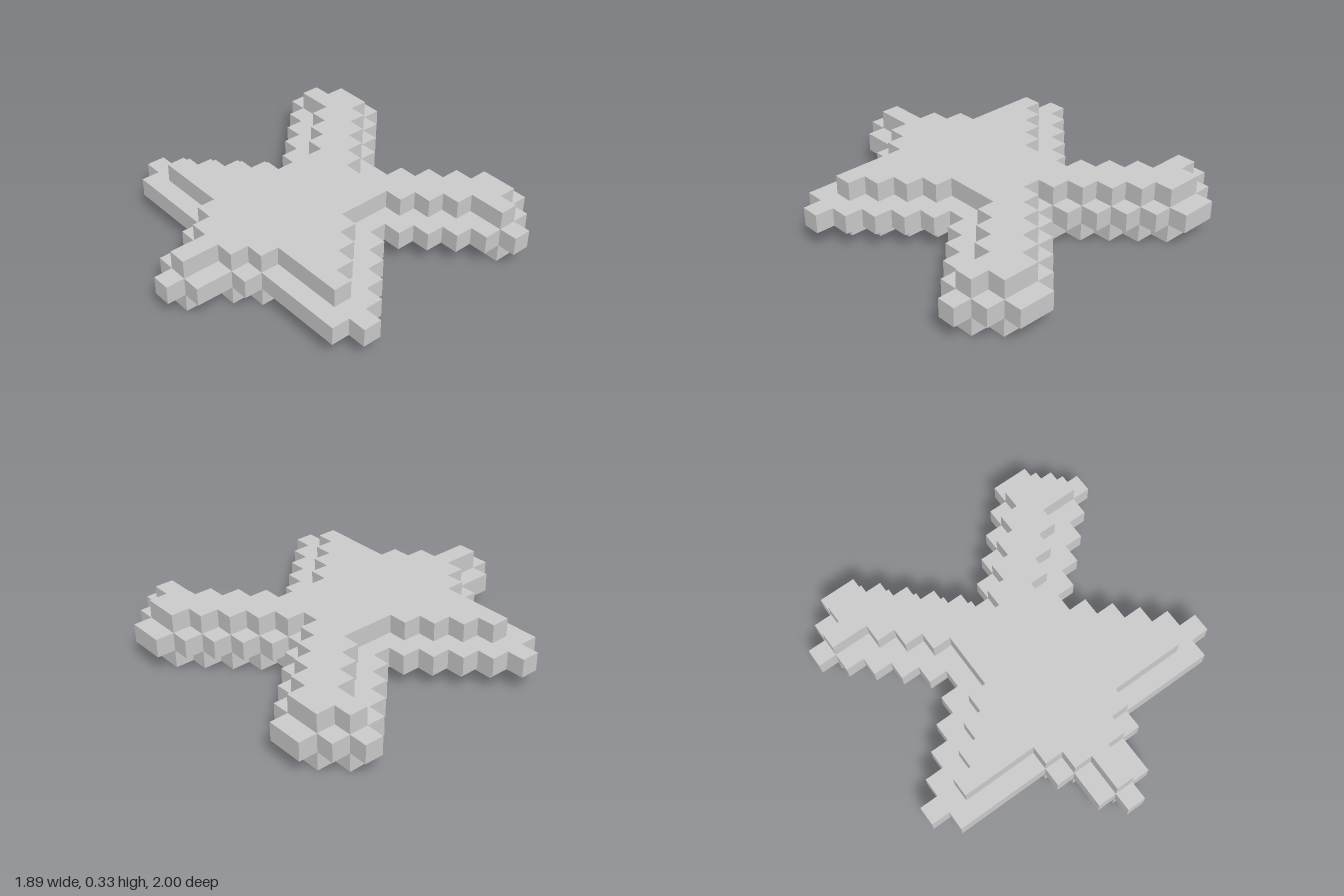
import * as THREE from 'three';

const U = 1 / 9; // one block
const material = new THREE.MeshStandardMaterial({ color: 0xcccccc, flatShading: true });

// Half-widths of each row of blocks, listed from back to front
const RIM_ROWS = [6.5, 7.5, 8.5, 7.5, 6.5, 5.5, 4.5, 3.5, 4.5, 5.5, 6.5, 7.5, 8.5, 7.5, 2.5, 1.5, 1.5, 0.5];
const CORE_ROWS = [6.5, 7.5, 5.5, 4.5, 3.5, 2.5, 2.5, 2.5, 3.5, 4.5, 5.5, 6.5, 2.5, 1.5, 0.5, 0.5];
// Half-widths of the stepped notch between the two back arms
const NOTCH = [4.5, 3.5, 2.5, 1.5, 0.5];

// Stepped path along one side, two corners per row
function steps(rows, firstRow) {
  return rows.flatMap((x, i) => [0, 1].map((k) => new THREE.Vector2(x * U, 1 - (firstRow + i + k) * U)));
}

const mirrored = (points) => points.map((p) => new THREE.Vector2(-p.x, p.y)).reverse();

// Symmetric stepped star slab
function starSlab(name, rows, firstRow, bottom, height) {
  const side = steps(rows, firstRow);
  const notch = steps(NOTCH, firstRow);
  const outline = [...side, ...mirrored(side), ...mirrored(notch).reverse(), ...notch.reverse()];
  const geometry = new THREE.ExtrudeGeometry(new THREE.Shape(outline), { depth: height * U, bevelEnabled: false });
  geometry.rotateX(-Math.PI / 2);
  geometry.translate(0, bottom * U, 0);
  const mesh = new THREE.Mesh(geometry, material);
  mesh.name = name;
  return mesh;
}

export function createModel() {
  const group = new THREE.Group();
  group.name = 'blockStarfish';
  // Thick core, with a one-block-high rim reaching further out at mid height
  group.add(starSlab('starCore', CORE_ROWS, 1, 0, 3));
  group.add(starSlab('starRim', RIM_ROWS, 0, 1, 1));
  return group;
}
